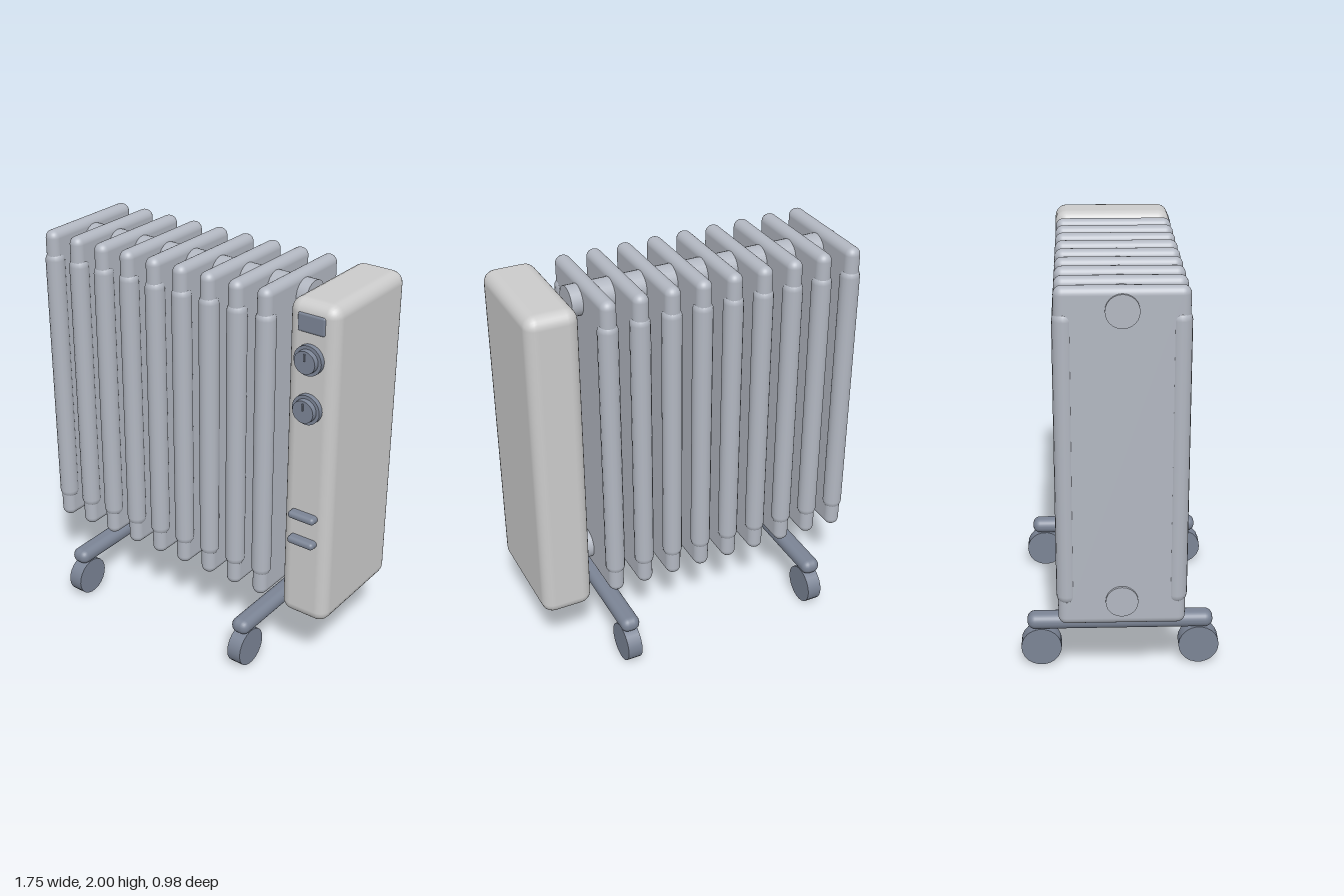
import * as THREE from 'three';
import { RoundedBoxGeometry } from 'three/addons/geometries/RoundedBoxGeometry.js';

export function createModel() {
  const root = new THREE.Group();
  root.name = 'oilRadiator';

  const bodyMat = new THREE.MeshStandardMaterial({ color: 0xcccccc });
  const finMat = new THREE.MeshStandardMaterial({ color: 0xb2b7c1 });
  const darkMat = new THREE.MeshStandardMaterial({ color: 0x7b8495 });

  function add(parent, name, geometry, material, x, y, z) {
    const mesh = new THREE.Mesh(geometry, material);
    mesh.name = name;
    mesh.position.set(x, y, z);
    parent.add(mesh);
    return mesh;
  }

  // Heating fins: thin rounded plate with a vertical tube along each edge
  const plateGeo = new RoundedBoxGeometry(0.08, 1.65, 0.6, 4, 0.039);
  const tubeGeo = new THREE.CapsuleGeometry(0.05, 1.34, 5, 16);
  for (let i = 0; i < 9; i++) {
    const fin = new THREE.Group();
    fin.name = 'fin';
    fin.position.x = -0.822 + i * 0.1613;
    add(fin, 'finPlate', plateGeo, finMat, 0, 1.175, 0);
    for (const side of [-1, 1]) add(fin, 'finTube', tubeGeo, finMat, 0, 1.175, side * 0.258);
    root.add(fin);
  }

  // Header pipes through all the fins
  const pipeGeo = new THREE.CylinderGeometry(0.077, 0.077, 1.44, 24).rotateZ(Math.PI / 2);
  for (const y of [0.482, 1.895]) add(root, 'headerPipe', pipeGeo, finMat, -0.155, y, 0);

  // Control housing
  const cx = 0.741;
  const controls = new THREE.Group();
  controls.name = 'controlUnit';
  root.add(controls);
  add(controls, 'housing', new RoundedBoxGeometry(0.26, 1.667, 0.61, 3, 0.06), bodyMat, cx, 1.1665, 0);
  add(controls, 'display', new RoundedBoxGeometry(0.146, 0.092, 0.03, 2, 0.012), darkMat, cx, 1.902, 0.296);

  // Dials: base ring, knob and pointer
  const ringGeo = new THREE.CylinderGeometry(0.073, 0.073, 0.04, 28).rotateX(Math.PI / 2);
  const knobGeo = new THREE.CylinderGeometry(0.055, 0.058, 0.04, 28).rotateX(Math.PI / 2);
  const pointerGeo = new THREE.BoxGeometry(0.008, 0.035, 0.012);
  for (const y of [1.735, 1.492]) {
    const dial = new THREE.Group();
    dial.name = 'dial';
    dial.position.set(cx, y, 0);
    add(dial, 'dialRing', ringGeo, darkMat, 0, 0, 0.31);
    add(dial, 'dialKnob', knobGeo, darkMat, 0, 0, 0.335);
    add(dial, 'dialPointer', pointerGeo, darkMat, 0, 0.025, 0.355);
    controls.add(dial);
  }

  // Rocker switches
  const switchGeo = new RoundedBoxGeometry(0.146, 0.038, 0.06, 3, 0.018);
  for (const y of [0.925, 0.786]) add(controls, 'switch', switchGeo, darkMat, cx, y, 0.318);

  // Feet: rounded crossbars on a wheel at each end
  const barGeo = new RoundedBoxGeometry(0.1, 0.08, 0.916, 3, 0.038);
  const wheelGeo = new THREE.CylinderGeometry(0.1, 0.1, 0.076, 22).rotateZ(Math.PI / 2);
  for (const x of [-0.598, 0.467]) {
    const foot = new THREE.Group();
    foot.name = 'foot';
    foot.position.x = x;
    add(foot, 'footBar', barGeo, darkMat, 0, 0.235, 0);
    for (const side of [-1, 1]) add(foot, 'wheel', wheelGeo, darkMat, 0, 0.1, side * 0.39);
    root.add(foot);
  }

  return root;
}
